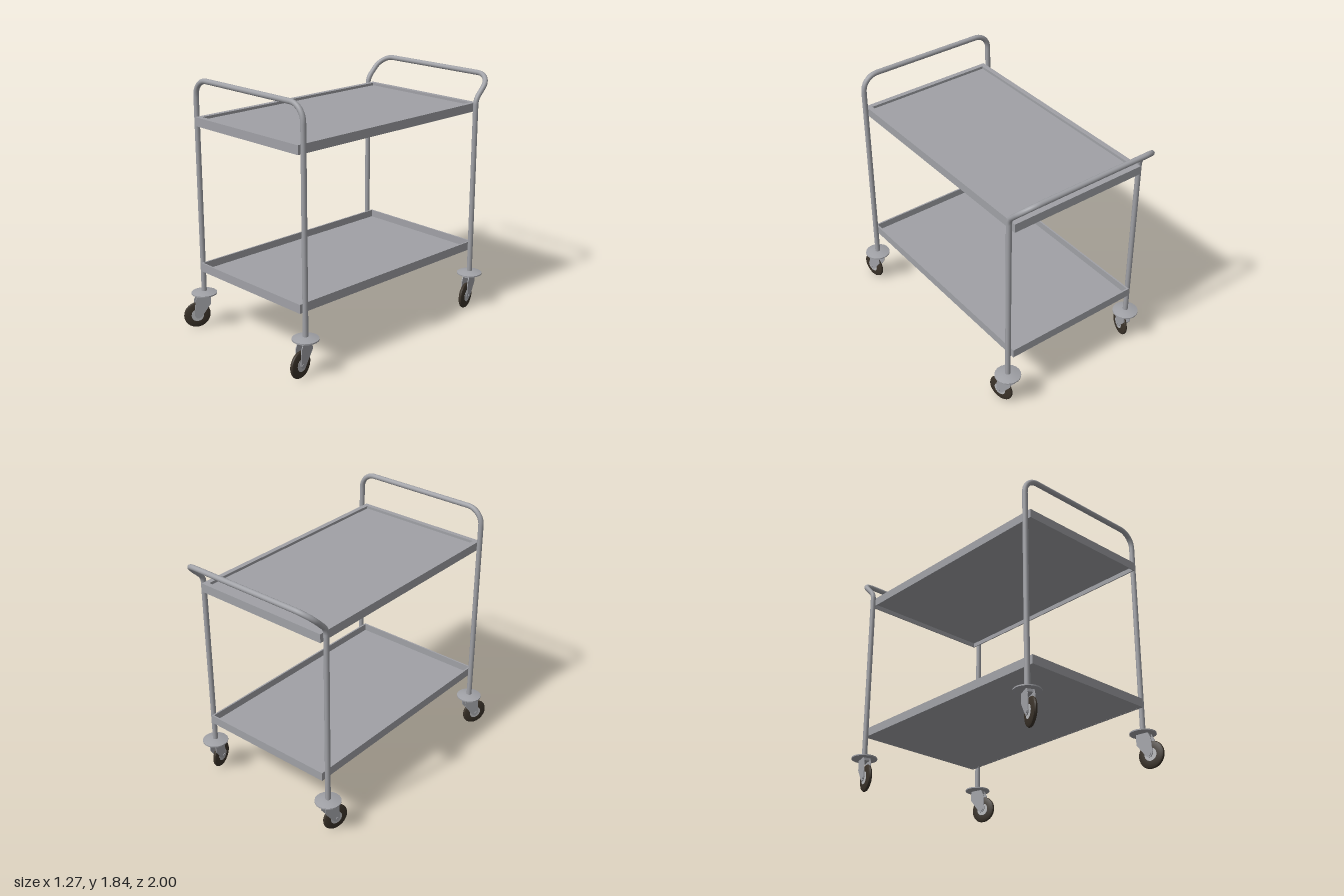
import * as THREE from 'three';
import { toCreasedNormals } from 'three/addons/utils/BufferGeometryUtils.js';

const V = (x, y, z) => new THREE.Vector3(x, y, z);
const steel = new THREE.MeshStandardMaterial({ color: 0xa0a1a6 });
steel.name = 'steel';
const rubber = new THREE.MeshStandardMaterial({ color: 0x3b332a });
rubber.name = 'rubber';
const hubGrey = new THREE.MeshStandardMaterial({ color: 0xb6b7ba });
hubGrey.name = 'hubGrey';

const LEG_X = 0.541, FRONT_Z = 0.846, REAR_Z = -0.825, TUBE_R = 0.019;
const TRAY = { w: 1.044, back: -0.86, front: 0.876 };

function add(parent, name, geometry, material) {
  const mesh = new THREE.Mesh(geometry, material);
  mesh.name = name;
  parent.add(mesh);
  return mesh;
}

// Tube through corner points, each inner corner rounded with its own radius
function bentTube(points, radii) {
  const path = new THREE.CurvePath();
  let from = points[0];
  for (let i = 1; i < points.length - 1; i++) {
    const p = points[i];
    const a = points[i - 1].clone().sub(p).normalize();
    const b = points[i + 1].clone().sub(p).normalize();
    const cut = radii[i - 1], k = cut * 0.45;
    const start = p.clone().addScaledVector(a, cut);
    const end = p.clone().addScaledVector(b, cut);
    path.add(new THREE.LineCurve3(from, start));
    path.add(new THREE.CubicBezierCurve3(start, p.clone().addScaledVector(a, k), p.clone().addScaledVector(b, k), end));
    from = end;
  }
  path.add(new THREE.LineCurve3(from, points[points.length - 1]));
  return new THREE.TubeGeometry(path, 180, TUBE_R, 14, false);
}

// Rectangular ring following the tray outline
function ring(thickness, y0, y1) {
  const rect = (Type, inset) => {
    const x = TRAY.w / 2 - inset, a = -TRAY.front + inset, b = -TRAY.back - inset;
    return new Type([[-x, a], [x, a], [x, b], [-x, b]].map(p => new THREE.Vector2(...p)));
  };
  const shape = rect(THREE.Shape, 0);
  shape.holes.push(rect(THREE.Path, thickness));
  return new THREE.ExtrudeGeometry(shape, { depth: y1 - y0, bevelEnabled: false })
    .rotateX(-Math.PI / 2).translate(0, y0, 0);
}

function floorPlate(y0, y1, inset) {
  return new THREE.BoxGeometry(TRAY.w - 2 * inset, y1 - y0, TRAY.front - TRAY.back - 2 * inset)
    .translate(0, (y0 + y1) / 2, (TRAY.front + TRAY.back) / 2);
}

function lathe(points, segments) {
  return toCreasedNormals(
    new THREE.LatheGeometry(points.map(p => new THREE.Vector2(...p)), segments), 0.6);
}

// Swivel caster; the wheel trails towards local +z
function makeCaster() {
  const caster = new THREE.Group();
  caster.name = 'caster';

  // bumper disc
  add(caster, 'bumperDisc', lathe([[0, 0.253], [0.07, 0.253], [0.092, 0.257], [0.092, 0.266], [0.05, 0.277], [0, 0.281]], 20), steel);

  // fork: two side plates and a bridge
  const side = new THREE.Shape([[-0.04, 0.255], [-0.04, 0.18], [0.025, 0.092], [0.045, 0.076],
    [0.065, 0.078], [0.08, 0.1], [0.072, 0.21], [0.05, 0.255]].map(p => new THREE.Vector2(...p)));
  for (const s of [-1, 1]) {
    const plate = new THREE.ExtrudeGeometry(side, { depth: 0.006, bevelEnabled: false })
      .rotateY(-Math.PI / 2).translate(0.003 + s * 0.024, 0, 0);
    add(caster, 'forkPlate', plate, steel);
  }
  add(caster, 'forkBridge', new THREE.BoxGeometry(0.05, 0.02, 0.09).translate(0, 0.244, 0.005), steel);

  // wheel: rubber tyre, hub and axle
  const wheel = new THREE.Group();
  wheel.name = 'wheel';
  wheel.position.set(0, 0.099, 0.057);
  wheel.rotation.z = Math.PI / 2;
  add(wheel, 'tyre', lathe([[0.045, -0.016], [0.08, -0.015], [0.093, -0.009], [0.097, 0],
    [0.093, 0.009], [0.08, 0.015], [0.045, 0.016]], 28), rubber);
  add(wheel, 'hub', new THREE.CylinderGeometry(0.046, 0.046, 0.034, 20), hubGrey);
  add(wheel, 'axle', new THREE.CylinderGeometry(0.011, 0.011, 0.062, 10), steel);
  caster.add(wheel);
  return caster;
}

export function createModel() {
  const model = new THREE.Group();
  model.name = 'serviceTrolley';

  // front hoop: straight legs and top bar
  add(model, 'frontHoop', bentTube([
    V(-LEG_X, 0.265, FRONT_Z), V(-LEG_X, 1.821, FRONT_Z),
    V(LEG_X, 1.821, FRONT_Z), V(LEG_X, 0.265, FRONT_Z)], [0.115, 0.115]), steel);

  // rear hoop: legs cranked back into a push handle
  add(model, 'rearPushHandle', bentTube([
    V(-LEG_X, 0.265, REAR_Z), V(-LEG_X, 1.595, REAR_Z), V(-LEG_X, 1.752, -0.984),
    V(LEG_X, 1.752, -0.984), V(LEG_X, 1.595, REAR_Z), V(LEG_X, 0.265, REAR_Z)],
  [0.035, 0.115, 0.115, 0.035]), steel);

  // upper tray: shallow, with a wide rim and a hollow skirt below
  const upper = new THREE.Group();
  upper.name = 'upperTray';
  add(upper, 'rim', ring(0.036, 1.54, 1.565), steel);
  add(upper, 'skirt', ring(0.008, 1.502, 1.54), steel);
  add(upper, 'floor', floorPlate(1.535, 1.546, 0.004), steel);
  model.add(upper);

  // lower tray: deep, with thin walls and a flat base
  const lower = new THREE.Group();
  lower.name = 'lowerTray';
  add(lower, 'walls', ring(0.012, 0.44, 0.503), steel);
  add(lower, 'floor', floorPlate(0.4405, 0.45, 0.006), steel);
  model.add(lower);

  // four casters, each swivelled a little differently
  for (const [x, z, yaw] of [[-LEG_X, FRONT_Z, -0.44], [LEG_X, FRONT_Z, 0.15],
    [-LEG_X, REAR_Z, -0.27], [LEG_X, REAR_Z, 0.24]]) {
    const caster = makeCaster();
    caster.position.set(x, 0, z);
    caster.rotation.y = yaw;
    model.add(caster);
  }
  return model;
}
